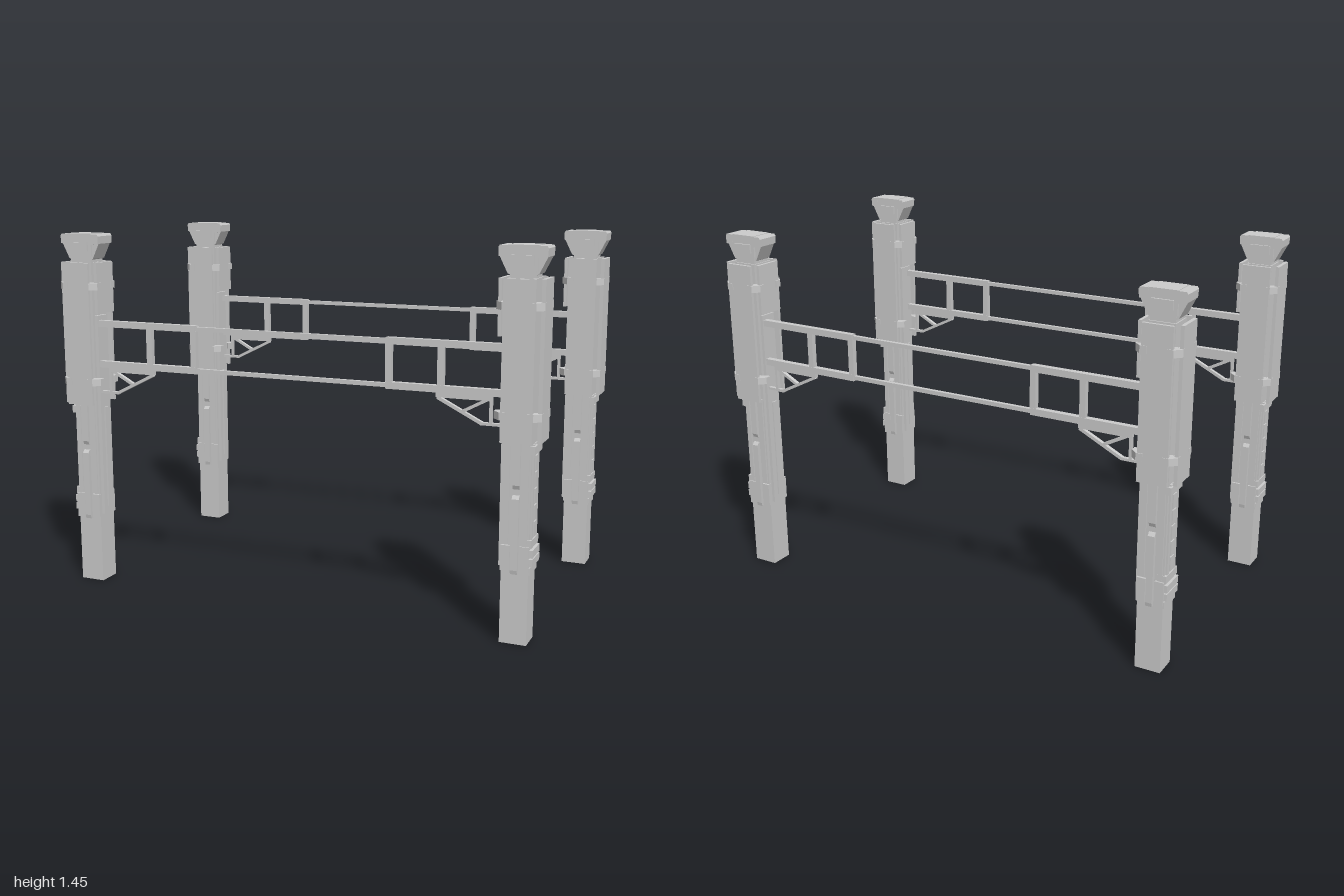
import * as THREE from 'three';

const material = new THREE.MeshStandardMaterial({ color: 0xcccccc, flatShading: true });
const CX = 0.911, CZ = 0.505; // column centre
const BZ = 0.523;             // beam plane

function add(parent, name, geometry) {
  const mesh = new THREE.Mesh(geometry, material);
  mesh.name = name;
  parent.add(mesh);
  return mesh;
}

// Box from its min/max ranges (either order)
function box(parent, name, [x0, x1], [y0, y1], [z0, z1]) {
  const mesh = add(parent, name, new THREE.BoxGeometry(Math.abs(x1 - x0), y1 - y0, Math.abs(z1 - z0)));
  mesh.position.set((x0 + x1) / 2, (y0 + y1) / 2, (z0 + z1) / 2);
  return mesh;
}

function extrude(points, depth) {
  const shape = new THREE.Shape(points.map(([x, y]) => new THREE.Vector2(x, y)));
  return new THREE.ExtrudeGeometry(shape, { depth, bevelEnabled: false });
}

// Profile in x/y, centred on z = 0
function slab(parent, name, points, depth) {
  return add(parent, name, extrude(points, depth).translate(0, 0, -depth / 2));
}

// Profile in z/y, extruded along x and centred
function sideSlab(parent, name, points, width) {
  const g = extrude(points.map(([z, y]) => [-z, y]), width);
  return add(parent, name, g.translate(0, 0, -width / 2).rotateY(Math.PI / 2));
}

// Column in local coordinates; s is the outward x direction
function createColumn(s) {
  const g = new THREE.Group();
  g.name = 'column';
  const X = (a, b) => [s * a, s * b];

  // Core post, with a slightly slimmer neck
  box(g, 'post', [-0.051, 0.051], [0, 1.335], [-0.048, 0.048]);
  box(g, 'neck', [-0.047, 0.047], [1.335, 1.40], [-0.042, 0.042]);

  // Head with flared wings
  box(g, 'headBlock', [-0.054, 0.054], [1.36, 1.45], [-0.048, 0.048]);
  box(g, 'headBand', [-0.04, 0.04], [1.38, 1.415], [-0.056, 0.056]);
  for (const d of [-1, 1]) {
    slab(g, 'headWing', [[0.045, 1.345], [0.056, 1.35], [0.087, 1.412], [0.045, 1.412]].map(([x, y]) => [d * x, y]), 0.08);
    slab(g, 'wingCap', [[0.054, 1.405], [0.087, 1.41], [0.089, 1.44], [0.084, 1.448], [0.054, 1.448]].map(([x, y]) => [d * x, y]), 0.097);
  }

  // Cover plates around the upper half; the inner one stops above the beam
  box(g, 'outerPlate', X(0.072, 0.086), [0.757, 1.335], [-0.058, 0.058]);
  box(g, 'innerPlate', X(-0.082, -0.07), [1.13, 1.335], [-0.058, 0.058]);
  for (const d of [-1, 1])
    box(g, 'facePlate', [-0.058, 0.058], [0.757, 1.335], [d * 0.072, d * 0.084]);

  // Corner clamps joining neighbouring plates
  const clamp = [[0.037, 0.068], [0.037, 0.087], [0.062, 0.087], [0.087, 0.062],
    [0.087, 0.037], [0.068, 0.037], [0.062, 0.045], [0.045, 0.045], [0.045, 0.062]];
  for (const sx of [-1, 1]) for (const sz of [-1, 1]) for (const y of [0.838, 1.227]) {
    const geo = extrude(clamp.map(([x, z]) => [x * sx, z * sz]), 0.028).rotateX(-Math.PI / 2);
    add(g, 'cornerClamp', geo).position.y = y;
  }

  // Rails and side plates on the front and back faces
  for (const d of [-1, 1]) {
    const P = (pts) => pts.map(([z, y]) => [d * z, y]);
    sideSlab(g, 'upperFaceRail', P([[0.04, 0.585], [0.054, 0.585], [0.06, 0.6], [0.06, 1.04], [0.04, 1.06]]), 0.026);
    sideSlab(g, 'lowerFaceRail', P([[0.04, 0.27], [0.06, 0.27], [0.063, 0.285], [0.063, 0.55], [0.055, 0.562], [0.04, 0.562]]), 0.026);
    for (const e of [-1, 1]) {
      box(g, 'faceStrip', [e * 0.026, e * 0.044], [0.38, 0.76], [d * 0.04, d * 0.053]);
      box(g, 'faceFoot', [e * 0.018, e * 0.053], [0.28, 0.375], [d * 0.04, d * 0.057]);
    }
  }

  // Outer face: ladder of blocks between two strips
  box(g, 'outerSpine', X(0.04, 0.055), [0.39, 0.75], [-0.02, 0.02]);
  for (let i = 0; i < 5; i++)
    box(g, 'outerBlock', X(0.05, 0.06), [0.406 + i * 0.061, 0.462 + i * 0.061], [-0.015, 0.015]);
  for (const d of [-1, 1])
    box(g, 'outerStrip', X(0.04, 0.058), [0.38, 0.75], [d * 0.023, d * 0.038]);
  // Bands wrapping the outer face
  for (const [y0, y1, out] of [[0.715, 0.745, 0.064], [0.37, 0.4, 0.06], [0.335, 0.364, 0.066], [0.302, 0.33, 0.066], [0.27, 0.297, 0.057]])
    box(g, 'outerBand', X(0.025, out), [y0, y1], [-0.052, 0.052]);

  // Inner face rail
  box(g, 'innerRail', X(-0.064, -0.045), [0.29, 1.12], [-0.035, 0.035]);
  box(g, 'innerRidge', X(-0.07, -0.06), [0.32, 0.74], [-0.012, 0.012]);
  return g;
}

// Straight bar between two points in the beam plane
function bar(parent, name, [x0, y0], [x1, y1], w, depth) {
  const mesh = add(parent, name, new THREE.BoxGeometry(Math.hypot(x1 - x0, y1 - y0), w, depth));
  mesh.position.set((x0 + x1) / 2, (y0 + y1) / 2, 0);
  mesh.rotation.z = Math.atan2(y1 - y0, x1 - x0);
}

function createBeam() {
  const g = new THREE.Group();
  g.name = 'beam';
  // Slim chords in the middle, heavier at the ends
  for (const y of [1.088, 0.922]) {
    box(g, 'middleChord', [-0.41, 0.41], [y - 0.008, y + 0.008], [-0.008, 0.008]);
    for (const s of [-1, 1])
      box(g, 'endChord', [s * 0.4, s * 0.86], [y - 0.013, y + 0.013], [-0.012, 0.012]);
  }
  for (const s of [-1, 1]) {
    for (const x of [0.41, 0.612])
      box(g, 'beamPost', [s * (x - 0.012), s * (x + 0.012)], [0.93, 1.08], [-0.011, 0.011]);
    // Triangular knee bracket
    const line = (x0, y0, x1, y1, w) => bar(g, 'kneeBracket', [s * x0, y0], [s * x1, y1], w, 0.016);
    line(0.808, 0.9, 0.595, 0.9, 0.018);
    line(0.802, 0.802, 0.802, 0.905, 0.01);
    line(0.86, 0.806, 0.765, 0.806, 0.01);
    line(0.77, 0.806, 0.6, 0.891, 0.012);
    line(0.785, 0.893, 0.695, 0.845, 0.011);
  }
  return g;
}

export function createModel() {
  const model = new THREE.Group();
  model.name = 'columnFrame';
  for (const sz of [-1, 1]) {
    for (const sx of [-1, 1]) {
      const column = createColumn(sx);
      column.position.set(sx * CX, 0, sz * CZ);
      model.add(column);
    }
    const beam = createBeam();
    beam.position.z = sz * BZ;
    model.add(beam);
  }
  return model;
}
